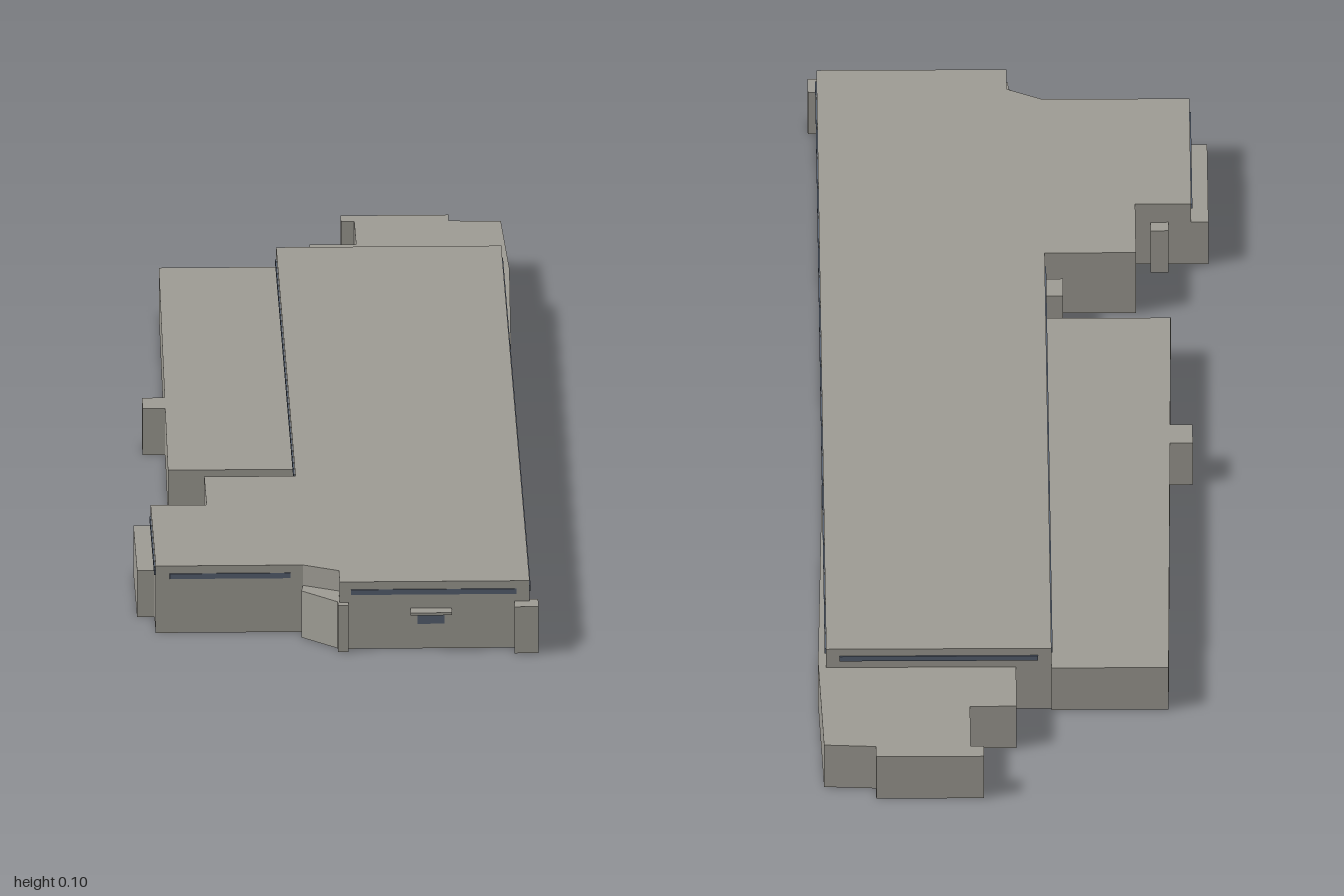
import * as THREE from 'three';
import { mergeGeometries } from 'three/addons/utils/BufferGeometryUtils.js';

const concrete = new THREE.MeshStandardMaterial({ color: 0x9e9c94, side: THREE.DoubleSide });
concrete.name = 'grey concrete';
const glass = new THREE.MeshStandardMaterial({ color: 0x566070 });
glass.name = 'blue grey glass';

const LOW = 0.073, HIGH = 0.105;

// Hollow block, open underneath: walls along an [x, z] outline plus a flat roof
function shell(name, outline, height) {
  let pts = outline.map(([x, z]) => new THREE.Vector2(x, -z));
  if (THREE.ShapeUtils.isClockWise(pts)) pts = pts.reverse();
  const roof = new THREE.ShapeGeometry(new THREE.Shape(pts)).toNonIndexed();
  roof.rotateX(-Math.PI / 2).translate(0, height, 0);
  roof.deleteAttribute('uv');
  const pos = [];
  pts.forEach((a, i) => {
    const b = pts[(i + 1) % pts.length];
    pos.push(a.x, 0, -a.y, b.x, 0, -b.y, b.x, height, -b.y);
    pos.push(a.x, 0, -a.y, b.x, height, -b.y, a.x, height, -a.y);
  });
  const walls = new THREE.BufferGeometry();
  walls.setAttribute('position', new THREE.Float32BufferAttribute(pos, 3));
  walls.computeVertexNormals();
  const mesh = new THREE.Mesh(mergeGeometries([roof, walls]), concrete);
  mesh.name = name;
  return mesh;
}

const rect = (x0, x1, z0, z1) => [[x0, z0], [x1, z0], [x1, z1], [x0, z1]];

// Thin glazed plate lying on the wall line from a to b
function pane(name, [ax, az], [bx, bz], y0, y1) {
  const length = Math.hypot(bx - ax, bz - az);
  const mesh = new THREE.Mesh(new THREE.BoxGeometry(length, y1 - y0, 0.004), glass);
  mesh.position.set((ax + bx) / 2, (y0 + y1) / 2, (az + bz) / 2);
  mesh.rotation.y = -Math.atan2(bz - az, bx - ax);
  mesh.name = name;
  return mesh;
}

export function createModel() {
  const model = new THREE.Group();
  model.name = 'longHallBuilding';

  // Tall main hall with its front right wing
  model.add(shell('mainHall', [
    [-0.053, -0.737], [0.285, -0.737], [0.285, 0.968], [0, 0.968], [0, 0.91],
    [-0.053, 0.88], [-0.274, 0.88], [-0.274, 0.57], [-0.19, 0.57], [-0.19, 0.427], [-0.053, 0.427],
  ], HIGH));

  // Lower side and rear wings
  model.add(shell('sideWing', [
    [-0.229, -0.741], [-0.053, -0.741], [-0.053, 0.289], [-0.241, 0.289],
  ], LOW));
  model.add(shell('rearWing', [
    [0, -0.737], [0, -0.853], [0.07, -0.853], [0.07, -0.97], [0.05, -0.97], [0.05, -1],
    [0.212, -1], [0.212, -0.97], [0.29, -0.965], [0.297, -0.72], [0.286, -0.15], [0.285, -0.737],
  ], LOW));

  // Angled entrance between the hall and the front wing
  model.add(shell('angledEntrance', [
    [-0.053, 0.88], [-0.056, 0.908], [-0.003, 0.965], [0, 0.965], [0, 0.91],
  ], LOW));

  // Small low annexes and piers
  const annexes = {
    entrancePier: [-0.003, 0.013, 0.955, 0.984],
    cornerPier: [0.262, 0.298, 0.957, 0.997],
    wingAnnex: [-0.3, -0.274, 0.57, 0.798],
    wingPier: [-0.24, -0.213, 0.545, 0.57],
    hallPier: [-0.08, -0.053, 0.354, 0.405],
    sidePorch: [-0.271, -0.235, -0.08, -0.026],
  };
  for (const [name, r] of Object.entries(annexes)) model.add(shell(name, rect(...r), LOW));

  // Continuous window bands near the roof
  const bands = [
    ['frontHallWindows', [0.017, 0.968], [0.265, 0.968]],
    ['frontWingWindows', [-0.253, 0.88], [-0.072, 0.88]],
    ['leftWindows', [0.285, 0.955], [0.285, -0.715]],
    ['rearWindows', [0.265, -0.737], [-0.033, -0.737]],
    ['rightWindows', [-0.053, -0.715], [-0.053, 0.407]],
    ['wingSideWindows', [-0.274, 0.59], [-0.274, 0.86]],
  ];
  for (const [name, a, b] of bands) model.add(pane(name, a, b, 0.085, 0.093));

  // Front door panel and its canopy
  model.add(pane('frontDoorPanel', [0.117, 0.968], [0.157, 0.968], 0.039, 0.059));
  const canopy = new THREE.Mesh(new THREE.BoxGeometry(0.062, 0.004, 0.026), concrete);
  canopy.position.set(0.137, 0.061, 0.979);
  canopy.name = 'doorCanopy';
  model.add(canopy);

  return model;
}
